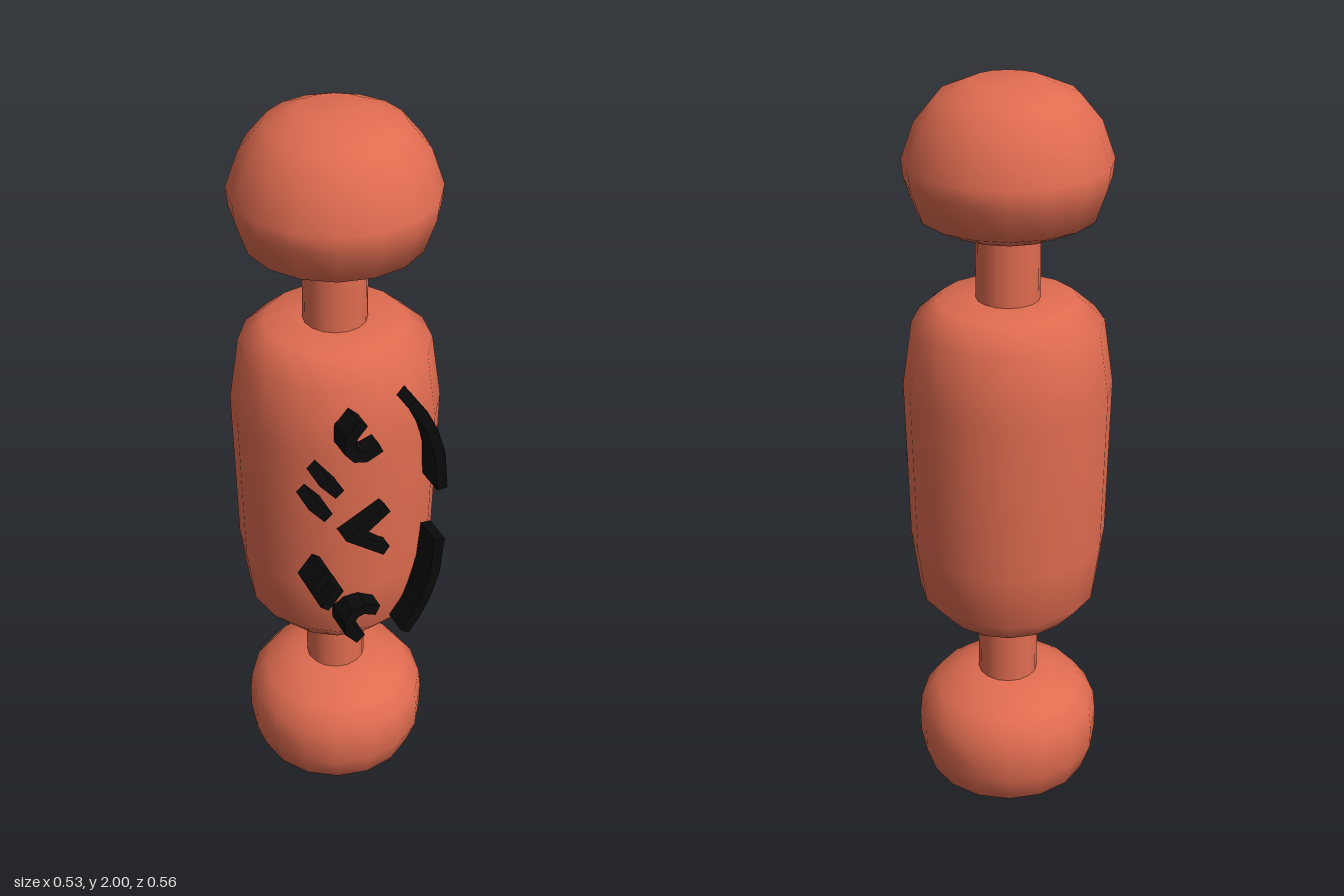
import * as THREE from 'three';

const coral = new THREE.MeshStandardMaterial({ color: 0xe06c50 });
coral.name = 'coral';
const black = new THREE.MeshStandardMaterial({ color: 0x0a0a0a });
black.name = 'black';

// Sixteen-sided turned part; profile is [radius, height] from bottom to top
function turned(name, profile) {
  const points = profile.map(([r, y]) => new THREE.Vector2(r, y));
  const mesh = new THREE.Mesh(new THREE.LatheGeometry(points, 16), coral);
  mesh.name = name;
  mesh.position.z = -0.015;
  return mesh;
}

// Ribbon of constant width along a path, extruded from z = 0.2 to z = 0.28
function stroke(name, path, width) {
  const pts = path.map(([x, y]) => new THREE.Vector2(x, y));
  const normal = (a, b) => {
    const d = b.clone().sub(a).normalize();
    return new THREE.Vector2(-d.y, d.x);
  };
  const one = [], two = [];
  pts.forEach((p, i) => {
    const n1 = normal(pts[Math.max(i - 1, 0)], pts[Math.max(i, 1)]);
    const n2 = i < pts.length - 1 ? normal(p, pts[i + 1]) : n1;
    const miter = n1.clone().add(n2).normalize();
    miter.multiplyScalar(width / 2 / miter.dot(n1));
    one.push(p.clone().add(miter));
    two.unshift(p.clone().sub(miter));
  });
  const shape = new THREE.Shape([...one, ...two]);
  const mesh = new THREE.Mesh(
    new THREE.ExtrudeGeometry(shape, { depth: 0.08, bevelEnabled: false }), black);
  mesh.name = name;
  mesh.position.z = 0.2;
  return mesh;
}

export function createModel() {
  const group = new THREE.Group();
  group.name = 'sausageFigure';

  // Body with round end knobs joined by thin necks
  group.add(
    turned('lowerKnob', [[0, 0], [0.09, 0.006], [0.165, 0.03], [0.22, 0.075], [0.245, 0.15],
      [0.246, 0.21], [0.24, 0.27], [0.2, 0.325], [0.13, 0.36], [0.07, 0.37], [0, 0.37]]),
    turned('lowerNeck', [[0.08, 0.34], [0.08, 0.6]]),
    turned('body', [[0, 0.57], [0.08, 0.57], [0.175, 0.572], [0.235, 0.64], [0.256, 0.8],
      [0.265, 1.23], [0.24, 1.4], [0.175, 1.457], [0.08, 1.462], [0, 1.462]]),
    turned('upperNeck', [[0.08, 1.43], [0.08, 1.68]]),
    turned('upperKnob', [[0, 1.643], [0.08, 1.643], [0.15, 1.646], [0.22, 1.68], [0.249, 1.765],
      [0.254, 1.81], [0.222, 1.9], [0.167, 1.966], [0.09, 1.998], [0, 2]])
  );

  // Sideways face: each mark is mirrored about the middle of the body
  const midY = 1.007;
  const marks = [
    ['brow', [[0.066, 1.367], [0.096, 1.325], [0.124, 1.27], [0.148, 1.195], [0.158, 1.087]], 0.028],
    ['eye', [[-0.06, 1.345], [-0.09, 1.31], [-0.093, 1.275], [-0.075, 1.253], [-0.05, 1.247], [-0.013, 1.264]], 0.03],
    ['innerCheekMark', [[-0.162, 1.206], [-0.12, 1.156]], 0.028],
    ['outerCheekMark', [[-0.19, 1.144], [-0.15, 1.095]], 0.028],
  ];
  for (const [name, path, width] of marks) {
    group.add(stroke(name + 'Upper', path, width));
    group.add(stroke(name + 'Lower', path.map(([x, y]) => [x, 2 * midY - y]).reverse(), width));
  }
  group.add(stroke('mouth', [[0.008, 1.073], [-0.08, midY], [0.008, 0.941]], 0.028));

  return group;
}
